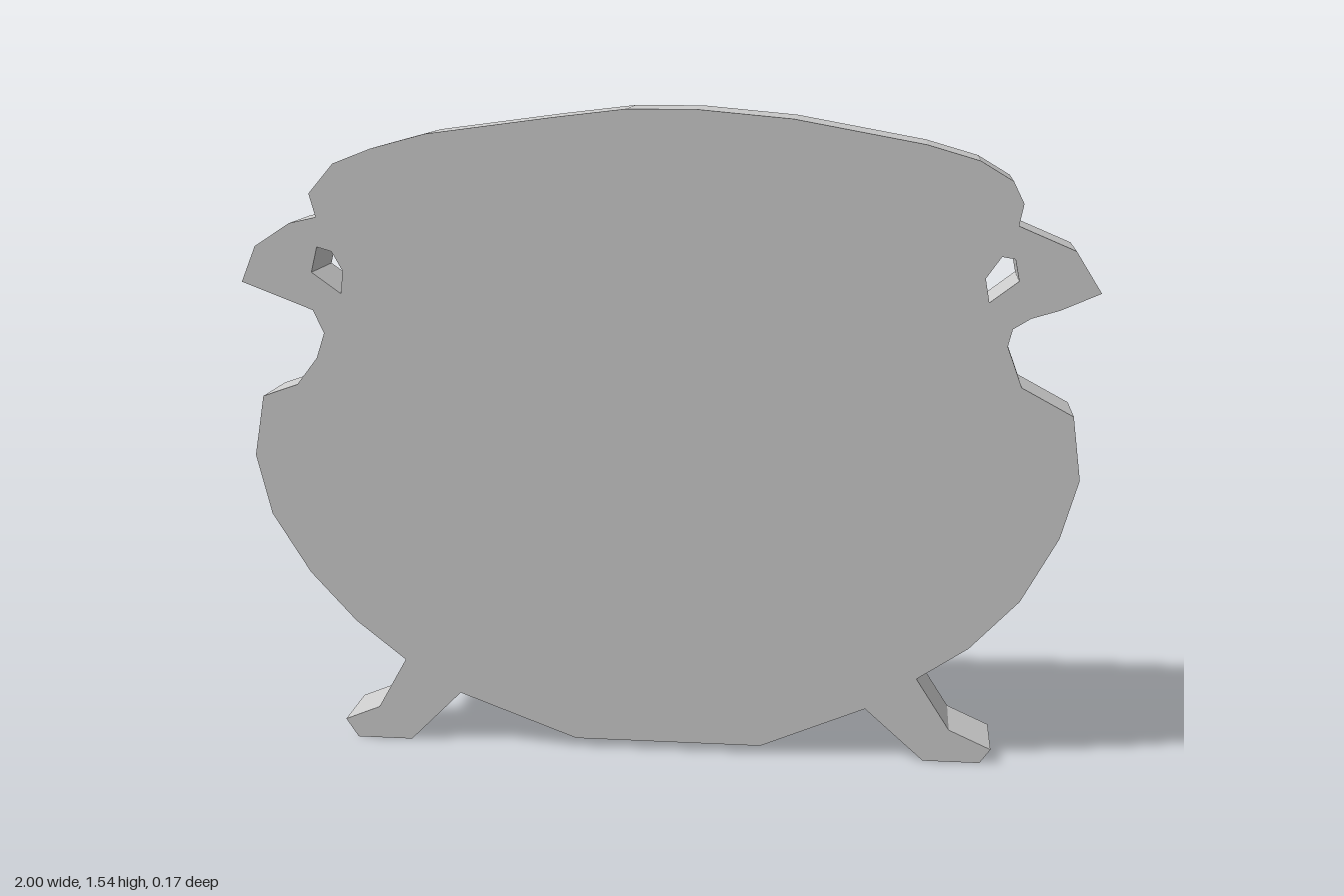
import * as THREE from 'three';

const DEPTH = 0.17;
const points = (list) => list.map(([x, y]) => new THREE.Vector2(x, y));

// Lower edge and right half: foot, belly, neck, handle, rim
const rightEdge = [
  [-0.21, 0.02], [0.24, 0.02], [0.49, 0.125],
  [0.63, 0], [0.765, 0], [0.79, 0.035], [0.69, 0.08], [0.61, 0.205],
  [0.73, 0.285], [0.845, 0.405], [0.93, 0.56], [0.97, 0.7], [0.95, 0.85],
  [0.83, 0.915], [0.795, 1.01], [0.805, 1.05],
  [0.845, 1.075], [0.91, 1.095], [1, 1.135], [0.94, 1.23], [0.81, 1.285],
  [0.82, 1.335], [0.795, 1.385], [0.72, 1.43], [0.6, 1.465], [0.3, 1.52], [0.08, 1.54],
];

// Other half, from the top back down to the foot
const leftEdge = [
  [-0.08, 1.54], [-0.25, 1.52], [-0.55, 1.48], [-0.68, 1.445], [-0.77, 1.41], [-0.83, 1.34],
  [-0.815, 1.285], [-0.88, 1.27], [-0.965, 1.215], [-1, 1.13], [-0.83, 1.065],
  [-0.805, 1.01], [-0.825, 0.95], [-0.875, 0.885], [-0.96, 0.855],
  [-0.985, 0.71], [-0.95, 0.565], [-0.86, 0.42], [-0.75, 0.3], [-0.63, 0.205],
  [-0.7, 0.08], [-0.785, 0.045], [-0.755, 0], [-0.62, 0], [-0.495, 0.125],
];

// Openings inside the two handles
const handleHoles = [
  [[-0.83, 1.155], [-0.815, 1.215], [-0.78, 1.205], [-0.755, 1.16], [-0.76, 1.105]],
  [[0.74, 1.165], [0.775, 1.215], [0.805, 1.21], [0.815, 1.16], [0.75, 1.11]],
];

export function createModel() {
  const group = new THREE.Group();
  group.name = 'cauldron';

  const shape = new THREE.Shape(points([...rightEdge, ...leftEdge]));
  for (const hole of handleHoles) shape.holes.push(new THREE.Path(points(hole)));

  // Flat cut-out plate with sharp edges, centred in depth
  const geometry = new THREE.ExtrudeGeometry(shape, { depth: DEPTH, bevelEnabled: false });
  geometry.translate(0, 0, -DEPTH / 2);

  const material = new THREE.MeshStandardMaterial({ color: 0xcccccc, flatShading: true });
  const plate = new THREE.Mesh(geometry, material);
  plate.name = 'cauldronPlate';
  group.add(plate);
  return group;
}
